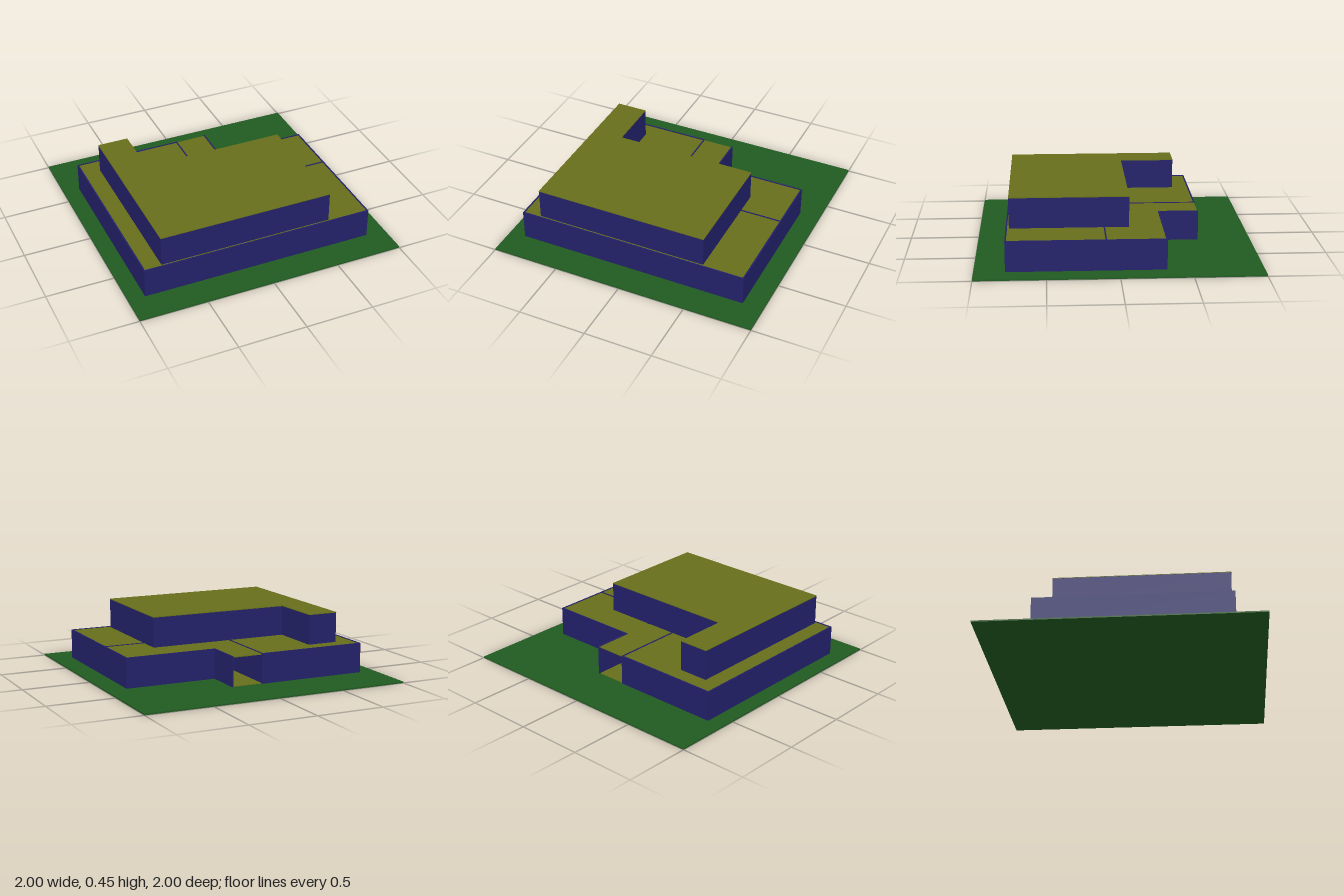
import * as THREE from 'three';

const T = 0.01; // wall thickness
const mat = (color) => new THREE.MeshStandardMaterial({ color, flatShading: true });

export function createModel() {
  const model = new THREE.Group();
  const grass = mat(0x205a20), wallMat = mat(0x23216a), slabMat = mat(0x666e1b);

  // Flat slab from an [x, z] outline, with its top at the given height
  function slab(name, outline, top, thickness, parent = model) {
    const shape = new THREE.Shape(outline.map(([x, z]) => new THREE.Vector2(x, z)));
    const geo = new THREE.ExtrudeGeometry(shape, { depth: thickness, bevelEnabled: false });
    geo.rotateX(Math.PI / 2).translate(0, top, 0);
    const mesh = new THREE.Mesh(geo, slabMat);
    mesh.name = name;
    parent.add(mesh);
  }

  // Thin walls along an open path of [x, z] points, square at the corners
  function walls(name, path, bottom, top, parent) {
    const group = new THREE.Group();
    group.name = name;
    for (let i = 0; i < path.length - 1; i++) {
      const [x0, z0] = path[i], [x1, z1] = path[i + 1];
      const geo = new THREE.BoxGeometry(Math.abs(x1 - x0) + T, top - bottom, Math.abs(z1 - z0) + T);
      const wall = new THREE.Mesh(geo, wallMat);
      wall.name = 'wall';
      wall.position.set((x0 + x1) / 2, (bottom + top) / 2, (z0 + z1) / 2);
      group.add(wall);
    }
    parent.add(group);
  }

  // Plot of land
  const ground = new THREE.Mesh(new THREE.BoxGeometry(2, 0.01, 2), grass);
  ground.name = 'ground';
  ground.position.y = 0.005;
  model.add(ground);

  // Lower storey, open at the back between the two porch walls
  const lower = new THREE.Group();
  lower.name = 'lowerStorey';
  model.add(lower);
  const lowerPlan = [
    [-0.07, -0.61], [-0.873, -0.61], [-0.873, 0.778], [0.845, 0.778],
    [0.845, -0.325], [0.165, -0.325], [0.165, -0.61],
  ];
  slab('lowerFloor', lowerPlan, 0.014, 0.006, lower);
  slab('lowerRoof', lowerPlan, 0.226, 0.006, lower);
  walls('lowerOuterWalls', lowerPlan, 0.01, 0.23, lower);

  // Partitions
  walls('porchPartition', [[-0.07, -0.61], [-0.07, 0.09]], 0.01, 0.23, lower);
  walls('roomPartition', [[0.17, -0.09], [0.17, 0.09], [0.845, 0.09]], 0.01, 0.23, lower);

  // Upper storey, L-shaped with a wing towards the back
  const upper = new THREE.Group();
  upper.name = 'upperStorey';
  model.add(upper);
  const upperPlan = [
    [-0.738, -0.483], [-0.738, 0.755], [0.533, 0.755],
    [0.533, -0.08], [-0.521, -0.08], [-0.521, -0.483],
  ];
  walls('upperOuterWalls', [...upperPlan, upperPlan[0]], 0.222, 0.446, upper);
  const roofPlan = [
    [-0.744, -0.489], [-0.744, 0.761], [0.539, 0.761],
    [0.539, -0.086], [-0.515, -0.086], [-0.515, -0.489],
  ];
  slab('upperRoof', roofPlan, 0.45, 0.005, upper);

  return model;
}
